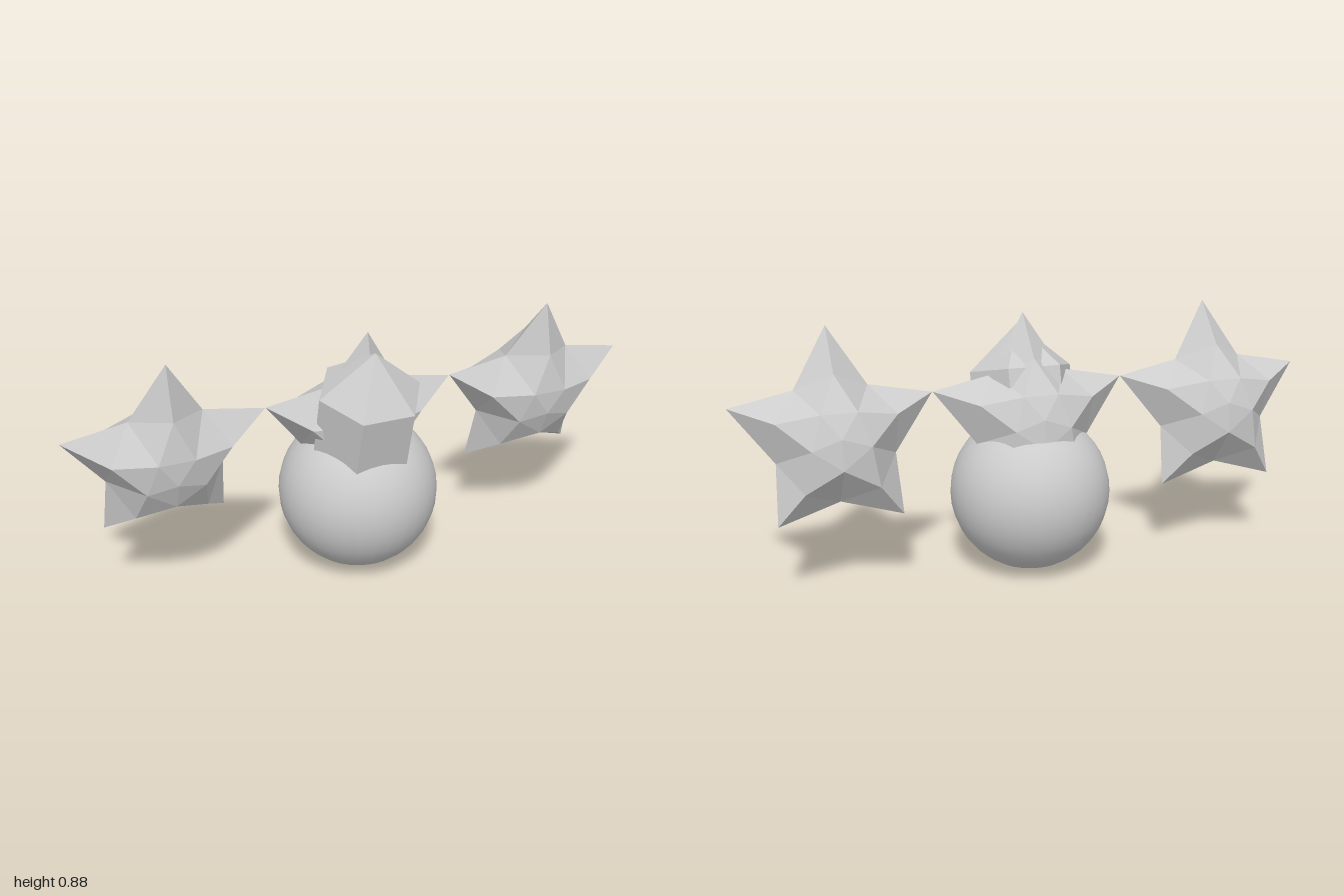
import * as THREE from 'three';

const TILT = THREE.MathUtils.degToRad(15);
const flat = new THREE.MeshStandardMaterial({ color: 0xcccccc, flatShading: true });
const smooth = new THREE.MeshStandardMaterial({ color: 0xcccccc });

// Faceted five-pointed star: domed on both sides, sharp rim tips, rim valleys between them
function starGeometry() {
  const CORE = -0.016; // the domed core sits slightly below the centre of the tips
  const ring = (r, z, turn, shift = CORE) => (i) => {
    const a = (i + turn) * Math.PI * 0.4;
    return [Math.sin(a) * r, Math.cos(a) * r + shift, z];
  };
  const pos = [];
  for (const s of [1, -1]) {
    const inner = ring(0.101, 0.137 * s, 0.5);
    const ridge = ring(0.206, 0.088 * s, 0);
    const valley = ring(0.205, 0, 0.5);
    const tip = ring(0.35, 0, 0, 0);
    const pole = [0, CORE, 0.153 * s];
    const tri = (a, b, c) => pos.push(...a, ...(s > 0 ? b : c), ...(s > 0 ? c : b));
    for (let i = 0; i < 5; i++) {
      const [A, A0, B, C, C0, T] =
        [inner(i), inner(i - 1), ridge(i), valley(i), valley(i - 1), tip(i)];
      tri(pole, A, A0);
      tri(A0, A, B);
      tri(B, A, C);
      tri(B, C0, A0);
      tri(T, B, C);
      tri(T, C0, B);
    }
  }
  const g = new THREE.BufferGeometry();
  g.setAttribute('position', new THREE.Float32BufferAttribute(pos, 3));
  g.computeVertexNormals();
  return g;
}

export function createModel() {
  const model = new THREE.Group();
  const add = (parent, name, geometry, material, x, y, z) => {
    const mesh = new THREE.Mesh(geometry, material);
    mesh.name = name;
    mesh.position.set(x, y, z);
    parent.add(mesh);
    return mesh;
  };

  // Round base
  add(model, 'baseSphere', new THREE.SphereGeometry(0.275, 32, 20), smooth, 0, 0.275, 0);

  // Three stars in a row, leaning forward
  const star = starGeometry();
  [['rightStar', -0.667], ['middleStar', 0], ['leftStar', 0.667]].forEach(([name, x]) => {
    add(model, name, star, flat, x, 0.542, -0.009).rotation.x = TILT;
  });

  // Six-sided tower with a pointed roof, leaning with the stars; origin at the eaves
  const tower = new THREE.Group();
  tower.name = 'tower';
  tower.position.set(0, 0.68, 0.104);
  tower.rotation.x = TILT;
  model.add(tower);
  const hex = [6, 1, false, Math.PI / 6];
  add(tower, 'towerWall', new THREE.CylinderGeometry(0.18, 0.18, 0.3, ...hex), flat, 0, -0.15, 0);
  add(tower, 'towerRoof', new THREE.ConeGeometry(0.18, 0.155, ...hex), flat, 0, 0.0775, 0);

  return model;
}
